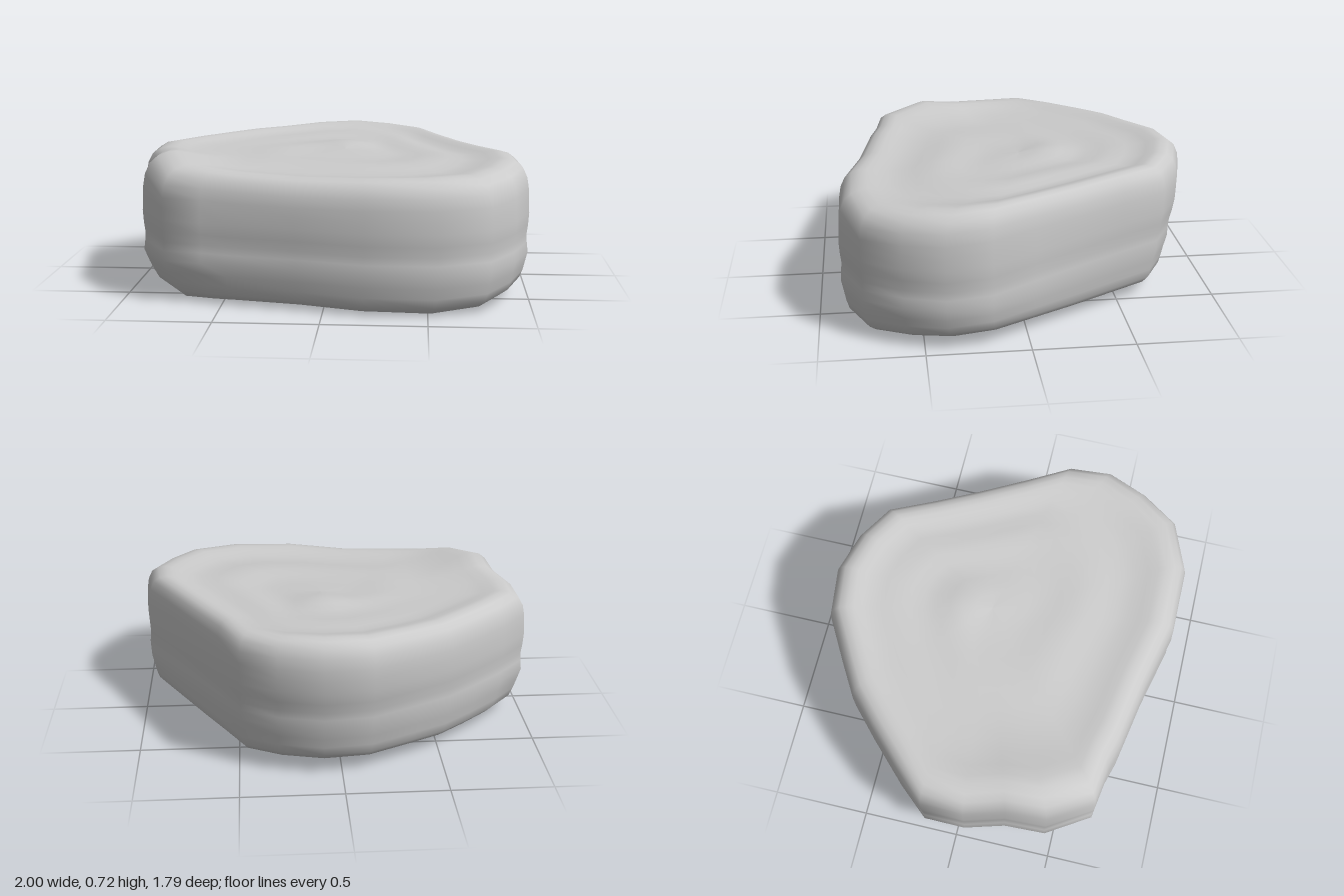
import * as THREE from 'three';

// Outline seen from above, as x, z, running back -> left -> front -> right
const OUTLINE = [
  [0.09, -0.9], [0.31, -0.84], [0.49, -0.735], [0.6, -0.51], [0.72, -0.28], [0.85, -0.04],
  [0.975, 0.18], [1, 0.4], [0.925, 0.6], [0.8, 0.79], [0.55, 0.89], [0.2, 0.89],
  [-0.13, 0.81], [-0.48, 0.745], [-0.6, 0.71], [-0.79, 0.68], [-0.93, 0.46], [-0.94, 0.25], [-1, 0.05],
  [-1, -0.17], [-0.86, -0.34], [-0.7, -0.5], [-0.55, -0.64], [-0.38, -0.74], [-0.15, -0.87],
];

// Rings from the underside centre, up the grooved wall, to the top centre: scale, height
const PROFILE = [
  [0, 0.075], [0.4, 0.075], [0.7, 0.072], [0.8, 0.06], [0.87, 0.05], [0.925, 0.055], [0.96, 0.085],
  [0.975, 0.13], [0.985, 0.18], [0.998, 0.24], [0.992, 0.29], [0.99, 0.33], [0.996, 0.38], [1, 0.44],
  [0.996, 0.5], [0.995, 0.55], [0.985, 0.605], [0.962, 0.65], [0.925, 0.675], [0.88, 0.684], [0.84, 0.682],
  [0.79, 0.672], [0.73, 0.662], [0.66, 0.66], [0.58, 0.664], [0.5, 0.666], [0.42, 0.664],
  [0.34, 0.662], [0.26, 0.662], [0.18, 0.662], [0.1, 0.662], [0, 0.662],
];

const SIDES = OUTLINE.length;
const CENTRE_X = 0.06;
const CENTRE_Z = -0.05;
const bump = (x, z, cx, cz, r) => Math.exp(-((x - cx) ** 2 + (z - cz) ** 2) / (r * r));

function stoneGeometry() {
  const positions = [];
  const index = [];

  PROFILE.forEach(([ringScale, height], row) => {
    const up = THREE.MathUtils.smoothstep(height, 0.4, 0.65);
    const down = 1 - THREE.MathUtils.smoothstep(height, 0.05, 0.25);
    OUTLINE.forEach(([outX, outZ]) => {
      // The front right corner and the right edge taper in toward the ground
      const taper = 0.05 * bump(outX, outZ, -0.85, 0.6, 0.25) + 0.02 * bump(outX, outZ, -1, -0.08, 0.25);
      const scale = ringScale * (1 - down * taper);
      const x = CENTRE_X + (outX - CENTRE_X) * scale;
      let z = CENTRE_Z + (outZ - CENTRE_Z) * scale;
      let y = height - 0.035 * z;

      // Faint spiral ripple on the top, fading toward the rim and centre
      if (height > 0.655 && scale < 0.8) {
        const turn = Math.atan2(outZ - CENTRE_Z, outX - CENTRE_X);
        const fade = Math.min(1, (0.8 - scale) * 6) * Math.min(1, scale * 4);
        y += 0.005 * Math.sin(scale * 15 + turn) * fade;
      }
      // Uneven rim, raised knob at the front right corner, dip along the front
      y += up * (0.045 * bump(x, z, -0.76, 0.38, 0.2) + 0.015 * bump(x, z, 0.08, -0.78, 0.25)
        + 0.02 * bump(x, z, 0.05, -0.18, 0.12) + 0.02 * bump(x, z, 0.88, 0.2, 0.3)
        - 0.018 * bump(x, z, -0.15, 0.75, 0.3));
      // Low spots underneath, with the left edge lifted
      y -= down * (0.03 * bump(x, z, -0.6, 0.5, 0.15) + 0.012 * bump(x, z, 0.45, 0.75, 0.25)
        + 0.02 * bump(x, z, -0.85, 0.05, 0.18) - 0.028 * bump(x, z, 0.95, 0.2, 0.4));
      // The back wall leans outward toward the top
      if (z < 0) z *= 0.94 + 0.06 * THREE.MathUtils.smoothstep(height, 0.1, 0.58);
      positions.push(x, y, z);
    });
    if (row === 0) return;
    const low = (row - 1) * SIDES;
    const high = row * SIDES;
    for (let i = 0; i < SIDES; i++) {
      const j = (i + 1) % SIDES;
      if (row < PROFILE.length - 1) index.push(low + i, high + i, high + j);
      else index.push(low + i, high + i, low + j);
      if (row > 1 && row < PROFILE.length - 1) index.push(low + i, high + j, low + j);
    }
  });

  const geometry = new THREE.BufferGeometry();
  geometry.setAttribute('position', new THREE.Float32BufferAttribute(positions, 3));
  geometry.setIndex(index);
  geometry.computeVertexNormals();
  geometry.computeBoundingBox();
  geometry.translate(0, -geometry.boundingBox.min.y, 0);
  return geometry;
}

export function createModel() {
  const group = new THREE.Group();
  group.name = 'flatStone';
  const stone = new THREE.Mesh(stoneGeometry(),
    new THREE.MeshStandardMaterial({ color: 0xcccccc }));
  stone.name = 'stoneBody';
  group.add(stone);
  return group;
}
